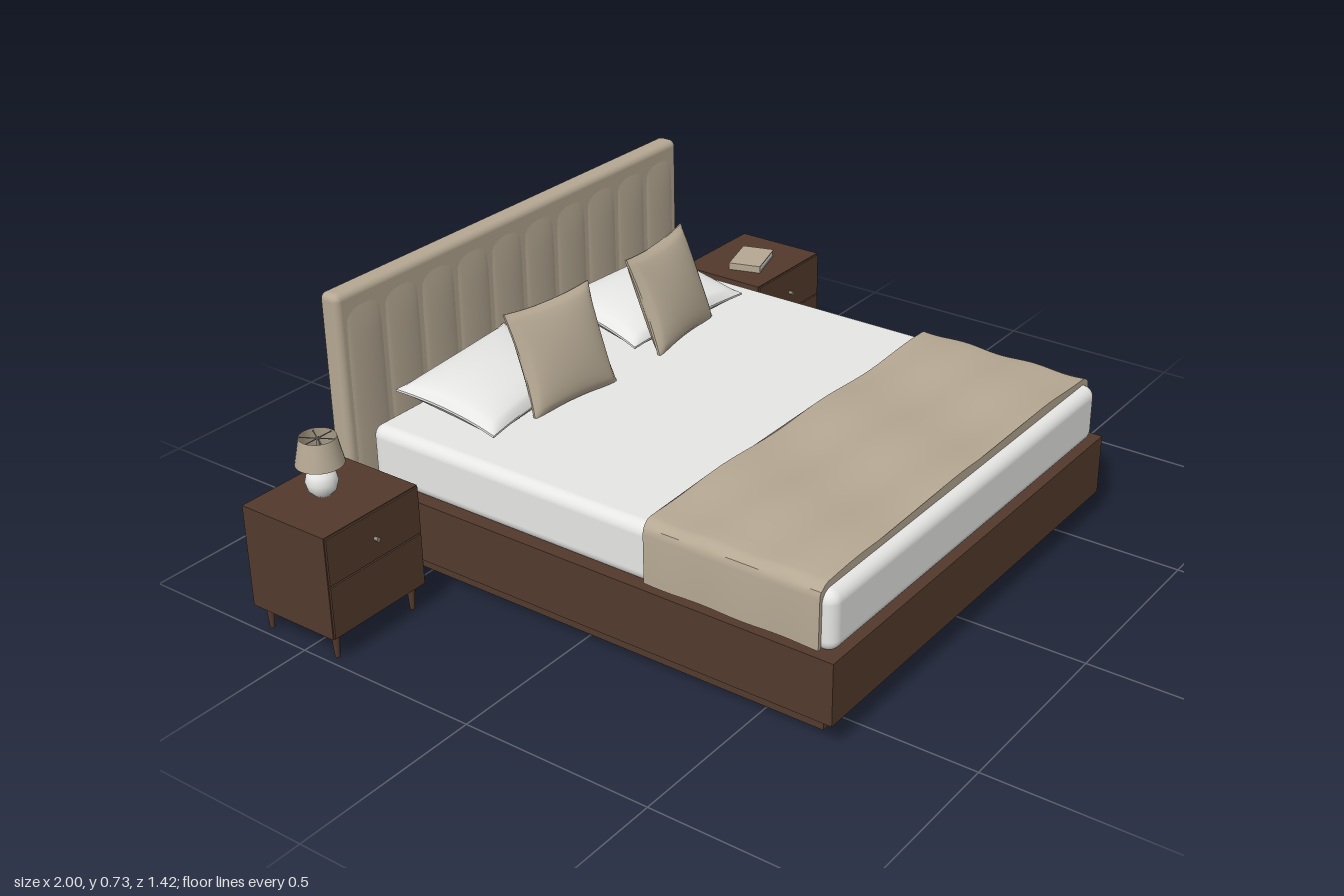
import * as THREE from 'three';
import { toCreasedNormals } from 'three/addons/utils/BufferGeometryUtils.js';
import { RoundedBoxGeometry } from 'three/addons/geometries/RoundedBoxGeometry.js';

const mat = (name, color, side = THREE.FrontSide) => {
  const m = new THREE.MeshStandardMaterial({ color, side });
  m.name = name;
  return m;
};

export function createModel() {
  const model = new THREE.Group();
  model.name = 'bedroomSet';
  const wood = mat('walnut wood', 0x523a2c);
  const fabric = mat('beige fabric', 0xb5a893, THREE.DoubleSide);
  const linen = mat('white linen', 0xe6e6e4);
  const metal = mat('brushed metal', 0x8c857c);

  const add = (parent, name, geo, material, x = 0, y = 0, z = 0) => {
    const m = new THREE.Mesh(geo, material);
    m.name = name;
    m.position.set(x, y, z);
    parent.add(m);
    return m;
  };
  // Box given by its min and max on each axis
  const slab = (parent, name, material, [x0, x1], [y0, y1], [z0, z1], r = 0) => {
    const s = [x1 - x0, y1 - y0, z1 - z0];
    const geo = r ? new RoundedBoxGeometry(...s, 4, r) : new THREE.BoxGeometry(...s);
    return add(parent, name, geo, material, (x0 + x1) / 2, (y0 + y1) / 2, (z0 + z1) / 2);
  };

  // Bed frame on a recessed plinth
  const bed = new THREE.Group();
  bed.name = 'bed';
  model.add(bed);
  slab(bed, 'plinth', wood, [-0.565, 0.565], [0, 0.072], [-0.61, 0.65]);
  slab(bed, 'frame', wood, [-0.627, 0.627], [0.07, 0.23], [-0.655, 0.71]);
  slab(bed, 'mattress', linen, [-0.606, 0.606], [0.228, 0.38], [-0.635, 0.695], 0.03);

  // Headboard with softly channelled front
  slab(bed, 'headboard', fabric, [-0.66, 0.66], [0.072, 0.73], [-0.711, -0.653], 0.018);
  const channels = new THREE.BoxGeometry(1.28, 0.62, 0.012, 120, 12, 1);
  const cp = channels.attributes.position;
  for (let i = 0; i < cp.count; i++) {
    if (cp.getZ(i) < 0) continue;
    const u = cp.getX(i) / 1.28 + 0.5, v = Math.abs(cp.getY(i)) / 0.31;
    const fade = 1 - v ** 6;
    cp.setZ(i, -0.004 + 0.009 * Math.sqrt(Math.abs(Math.sin(u * Math.PI * 10))) * fade);
  }
  channels.computeVertexNormals();
  add(bed, 'headboardChannels', channels, fabric, 0, 0.402, -0.652);

  // Throw blanket: an inverted U swept along z, then rippled
  const outline = [];
  const arch = (w, top, r, bottom) => {
    const pts = [[-w, bottom]];
    for (let i = 0; i <= 6; i++) {
      const a = (i / 6) * Math.PI / 2;
      pts.push([-w + r - r * Math.cos(a), top - r + r * Math.sin(a)]);
    }
    for (let i = 1; i < 32; i++) pts.push([(-1 + i / 16) * (w - r), top]);
    for (let i = 6; i >= 0; i--) {
      const a = (i / 6) * Math.PI / 2;
      pts.push([w - r + r * Math.cos(a), top - r + r * Math.sin(a)]);
    }
    pts.push([w, bottom]);
    return pts;
  };
  outline.push(...arch(0.615, 0.4, 0.035, 0.24), ...arch(0.605, 0.378, 0.03, 0.24).reverse());
  let throwGeo = new THREE.ExtrudeGeometry(
    new THREE.Shape(outline.map(([x, y]) => new THREE.Vector2(x, y))),
    { depth: 0.465, steps: 24, bevelEnabled: false });
  const tp = throwGeo.attributes.position;
  for (let i = 0; i < tp.count; i++) {
    const x = tp.getX(i), y = tp.getY(i), z = tp.getZ(i);
    if (y > 0.385) tp.setY(i, y + 0.004 * Math.sin(x * 15 + z * 5) + 0.003 * Math.sin(z * 32 - x * 4));
    else if (y < 0.3) tp.setX(i, x + Math.sign(x) * 0.002 * Math.sin(z * 30));
  }
  throwGeo = toCreasedNormals(throwGeo, 0.7);
  add(bed, 'throwBlanket', throwGeo, fabric, 0, 0, 0.2);

  // Puffed pillow with pinched sides and pointed corners
  const pillow = (w, h, t) => {
    const geo = new THREE.BoxGeometry(2, 2, 2, 24, 24, 1);
    const p = geo.attributes.position;
    for (let i = 0; i < p.count; i++) {
      const u = p.getX(i), v = p.getY(i);
      const puff = Math.max(0, (1 - u * u) * (1 - v * v)) ** 0.45;
      p.setXYZ(i,
        u * (w / 2) * (1 - 0.07 * (1 - v * v)),
        v * (h / 2) * (1 - 0.07 * (1 - u * u)),
        p.getZ(i) * (0.003 + (t / 2 - 0.003) * puff));
    }
    geo.computeVertexNormals();
    return geo;
  };
  const pillowGeo = pillow(0.44, 0.29, 0.09), cushionGeo = pillow(0.28, 0.27, 0.08);
  const place = (name, geo, material, pos, tilt, yaw) => {
    const m = add(bed, name, geo, material, ...pos);
    m.rotation.set(tilt, yaw, 0, 'YXZ');
  };
  const flat = -Math.PI / 2 + 0.18;
  place('rightPillow', pillowGeo, linen, [-0.305, 0.428, -0.483], flat, 0.09);
  place('leftPillow', pillowGeo, linen, [0.295, 0.428, -0.478], flat, -0.06);
  place('rightCushion', cushionGeo, fabric, [-0.205, 0.5, -0.363], -0.36, -0.12);
  place('leftCushion', cushionGeo, fabric, [0.238, 0.5, -0.363], -0.36, 0.12);

  // Nightstands with two drawer fronts and tapered legs
  for (const s of [-1, 1]) {
    const stand = new THREE.Group();
    stand.name = s < 0 ? 'rightNightstand' : 'leftNightstand';
    stand.position.set(s * 0.848, 0, -0.527);
    model.add(stand);
    slab(stand, 'cabinet', wood, [-0.151, 0.151], [0.065, 0.333], [-0.132, 0.127]);
    slab(stand, 'upperDrawer', wood, [-0.148, 0.148], [0.208, 0.33], [0.126, 0.132]);
    slab(stand, 'lowerDrawer', wood, [-0.148, 0.148], [0.068, 0.204], [0.126, 0.132]);
    const knob = add(stand, 'knob', new THREE.CylinderGeometry(0.006, 0.004, 0.014, 16), metal, 0, 0.264, 0.138);
    knob.rotation.x = Math.PI / 2;
    for (const x of [-0.125, 0.125]) for (const z of [-0.107, 0.107])
      add(stand, 'leg', new THREE.CylinderGeometry(0.011, 0.006, 0.067, 16), wood, x, 0.0335, z);
  }

  // Table lamp: round base, stem, open shade and finial
  const lamp = new THREE.Group();
  lamp.name = 'lamp';
  lamp.position.set(-0.85, 0.333, -0.55);
  model.add(lamp);
  const profile = [[0, 0], [0.022, 0], [0.034, 0.014], [0.039, 0.034], [0.034, 0.054], [0.02, 0.069], [0.01, 0.075], [0.008, 0.085], [0, 0.085]];
  add(lamp, 'lampBase', new THREE.LatheGeometry(profile.map(([x, y]) => new THREE.Vector2(x, y)), 32), linen);
  add(lamp, 'lampStem', new THREE.CylinderGeometry(0.004, 0.004, 0.07, 12), metal, 0, 0.112, 0);
  add(lamp, 'lampShade', new THREE.CylinderGeometry(0.044, 0.058, 0.068, 32, 1, true), fabric, 0, 0.114, 0);
  for (let i = 0; i < 3; i++) {
    const spoke = add(lamp, 'shadeSpoke', new THREE.BoxGeometry(0.086, 0.002, 0.002), metal, 0, 0.143, 0);
    spoke.rotation.y = (i * Math.PI) / 3;
  }

  // Book: covers around a block of pages
  const book = new THREE.Group();
  book.name = 'book';
  book.position.set(0.831, 0.333, -0.516);
  book.rotation.y = 0.3;
  model.add(book);
  slab(book, 'backCover', fabric, [-0.066, 0.066], [0, 0.003], [-0.046, 0.046]);
  slab(book, 'pages', linen, [-0.064, 0.063], [0.003, 0.017], [-0.044, 0.044]);
  slab(book, 'frontCover', fabric, [-0.066, 0.066], [0.017, 0.02], [-0.046, 0.046]);
  slab(book, 'spine', fabric, [-0.067, -0.064], [0, 0.02], [-0.046, 0.046]);

  return model;
}
